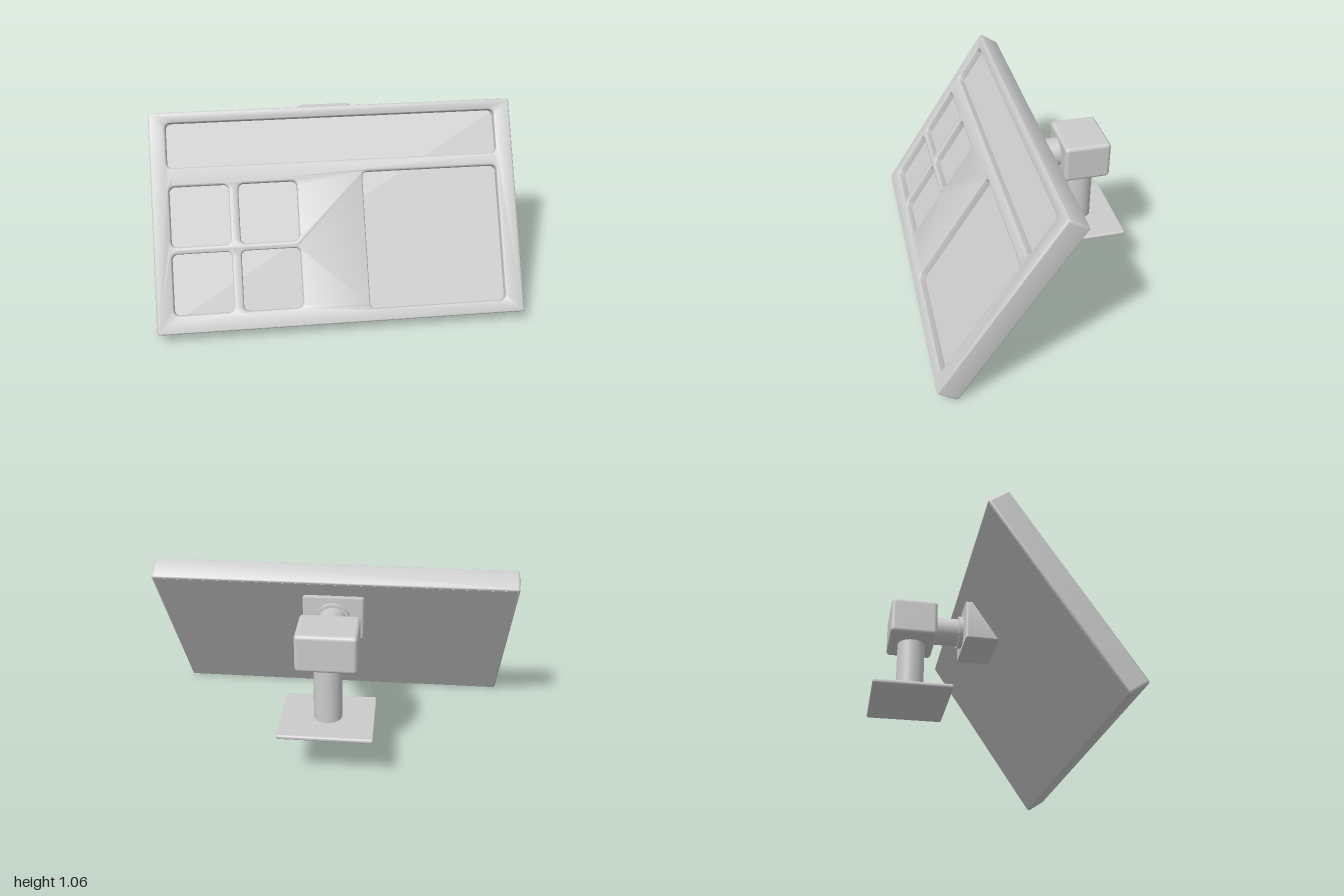
import * as THREE from 'three';
import { toCreasedNormals } from 'three/addons/utils/BufferGeometryUtils.js';
import { RoundedBoxGeometry } from 'three/addons/geometries/RoundedBoxGeometry.js';

const material = new THREE.MeshStandardMaterial({ color: 0xcccccc });

function addMesh(parent, name, geometry, x = 0, y = 0, z = 0) {
  const mesh = new THREE.Mesh(geometry, material);
  mesh.name = name;
  mesh.position.set(x, y, z);
  parent.add(mesh);
  return mesh;
}

// Rounded rectangle outline, used for the panel and its pockets
function roundedRect(path, x0, y0, x1, y1, r) {
  path.moveTo(x0 + r, y0);
  path.lineTo(x1 - r, y0);
  path.absarc(x1 - r, y0 + r, r, -Math.PI / 2, 0);
  path.lineTo(x1, y1 - r);
  path.absarc(x1 - r, y1 - r, r, 0, Math.PI / 2);
  path.lineTo(x0 + r, y1);
  path.absarc(x0 + r, y1 - r, r, Math.PI / 2, Math.PI);
  path.lineTo(x0, y0 + r);
  path.absarc(x0 + r, y0 + r, r, Math.PI, Math.PI * 1.5);
  return path;
}

// Extrusion with softened edges that stays inside the given outline, centred in depth
function softExtrude(shape, thickness, bevel) {
  const geometry = new THREE.ExtrudeGeometry(shape, {
    depth: thickness - 2 * bevel,
    bevelThickness: bevel,
    bevelSize: bevel,
    bevelOffset: -bevel,
    bevelSegments: 4,
    curveSegments: 6,
  });
  geometry.translate(0, 0, bevel - thickness / 2);
  return toCreasedNormals(geometry, 0.6);
}

export function createModel() {
  const model = new THREE.Group();
  model.name = 'tiltedPanelOnStand';

  // Tilted panel with sunken pockets
  const panel = new THREE.Group();
  panel.name = 'panel';
  panel.position.set(0, 0.535, 0.243);
  panel.rotation.x = -0.581;
  model.add(panel);

  const W = 2, H = 1.192, T = 0.13, pocketDepth = 0.042;
  const outline = roundedRect(new THREE.Shape(), -W / 2, -H / 2, W / 2, H / 2, 0.015);
  const pockets = [
    [-0.91, 0.292, 0.907, 0.537], // long strip
    [0.146, -0.528, 0.9, 0.222], // large pocket
  ];
  for (const x of [-0.905, -0.535]) {
    for (const y of [-0.498, -0.135]) pockets.push([x, y, x + 0.318, y + 0.325]);
  }
  for (const p of pockets) outline.holes.push(roundedRect(new THREE.Path(), ...p, 0.03));
  addMesh(panel, 'panelFrame', softExtrude(outline, T, 0.012));

  // Solid backing that closes the pockets and forms the flat back
  const backing = T - pocketDepth + 0.0005;
  addMesh(panel, 'panelBacking', new THREE.BoxGeometry(W - 0.026, H - 0.026, backing),
    0, 0, -T / 2 - 0.0005 + backing / 2);

  // Wedge bracket on the back of the panel, drawn as a side profile
  const wedge = new THREE.Shape([
    [-0.105, 0.657], [0.105, 0.657], [-0.05, 0.895], [-0.105, 0.895],
  ].map(([z, y]) => new THREE.Vector2(-z, y)));
  addMesh(model, 'wedgeBracket', softExtrude(wedge, 0.34, 0.015)).rotation.y = Math.PI / 2;

  // Horizontal arm: collar and neck
  const collar = new THREE.CylinderGeometry(0.094, 0.094, 0.04, 48);
  addMesh(model, 'collar', collar, 0, 0.773, -0.11).rotation.x = Math.PI / 2;
  const neck = new THREE.CylinderGeometry(0.08, 0.08, 0.2, 48);
  addMesh(model, 'neck', neck, 0, 0.77, -0.19).rotation.x = Math.PI / 2;

  // Joint block, post and foot plate
  addMesh(model, 'jointBlock', new RoundedBoxGeometry(0.328, 0.214, 0.264, 4, 0.022), 0, 0.771, -0.398);
  addMesh(model, 'post', new THREE.CylinderGeometry(0.078, 0.078, 0.37, 48), 0, 0.5, -0.398);
  addMesh(model, 'footPlate', new RoundedBoxGeometry(0.516, 0.026, 0.436, 3, 0.011), 0, 0.313, -0.4);

  return model;
}
